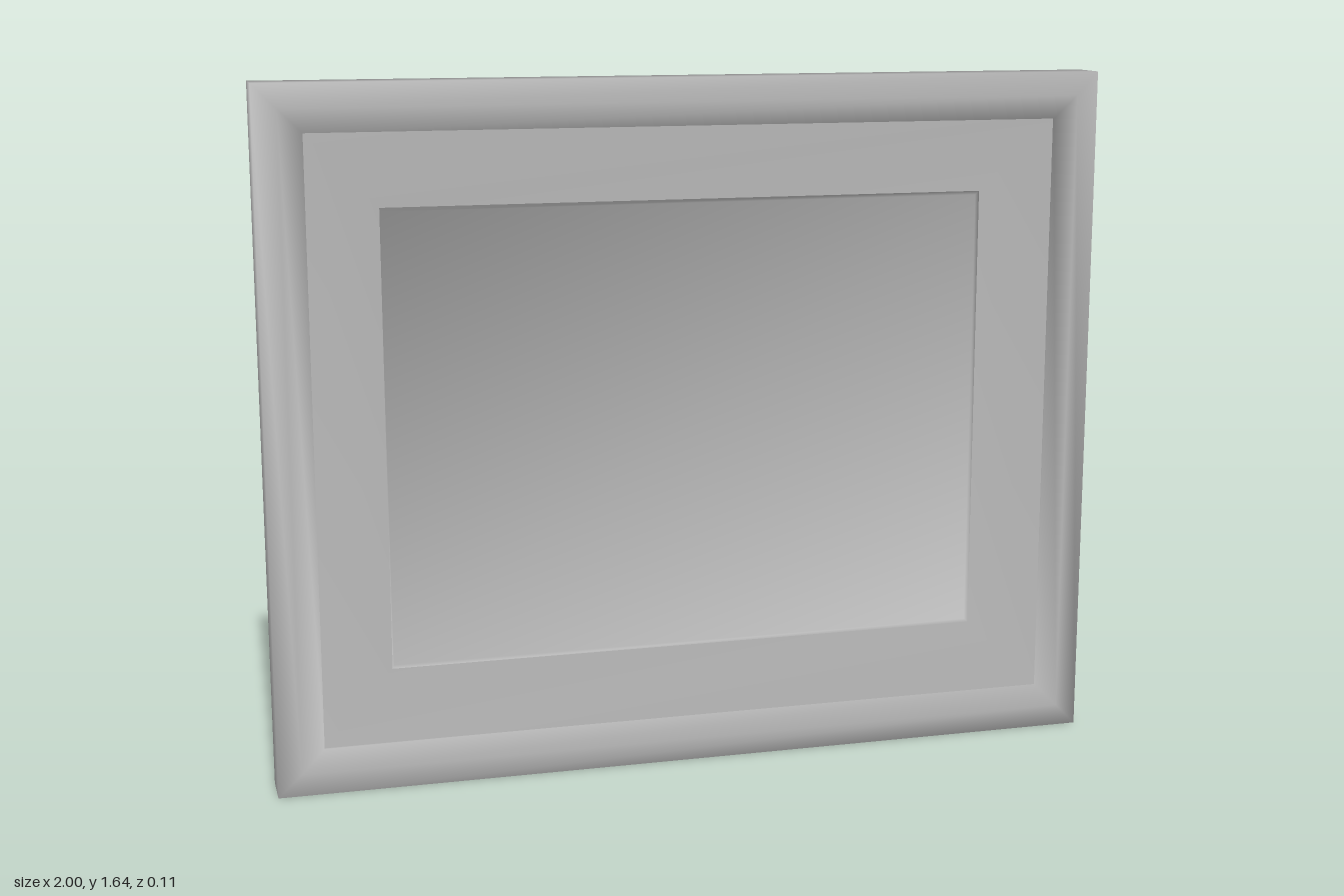
import * as THREE from 'three';

// Joins rectangular rings [x0, x1, y0, y1, z] from back to front, outside in.
// Corners are shared and each face counts equally in the normals, giving a soft shade.
function ringLoft(rings, { capFirst = false, capLast = false } = {}) {
  const pos = [], idx = [];
  for (const [x0, x1, y0, y1, z] of rings) {
    pos.push(x0, y0, z, x1, y0, z, x1, y1, z, x0, y1, z);
  }
  for (let r = 0; r + 1 < rings.length; r++) {
    for (let i = 0; i < 4; i++) {
      const a = r * 4 + i, b = r * 4 + (i + 1) % 4;
      idx.push(a, b, b + 4, a, b + 4, a + 4);
    }
  }
  if (capFirst) idx.push(0, 3, 2, 0, 2, 1);
  if (capLast) {
    const k = (rings.length - 1) * 4;
    idx.push(k, k + 1, k + 2, k, k + 2, k + 3);
  }
  const geometry = new THREE.BufferGeometry();
  geometry.setAttribute('position', new THREE.Float32BufferAttribute(pos, 3));
  geometry.setIndex(idx);

  const points = [], sums = [];
  for (let i = 0; i < pos.length; i += 3) {
    points.push(new THREE.Vector3(pos[i], pos[i + 1], pos[i + 2]));
    sums.push(new THREE.Vector3());
  }
  const tri = new THREE.Triangle(), n = new THREE.Vector3();
  for (let i = 0; i < idx.length; i += 3) {
    const corners = idx.slice(i, i + 3);
    tri.set(...corners.map((c) => points[c])).getNormal(n);
    corners.forEach((c) => sums[c].add(n));
  }
  const normals = sums.flatMap((s) => s.normalize().toArray());
  geometry.setAttribute('normal', new THREE.Float32BufferAttribute(normals, 3));
  return geometry;
}

// A ring set in from the outer edge by a fixed margin
const inset = (d, z) => [-1 + d, 1 - d, d, 1.64 - d, z];

export function createModel() {
  const group = new THREE.Group();
  group.name = 'pictureFrame';
  const grey = new THREE.MeshStandardMaterial({ color: 0xb8b8b8 });
  grey.name = 'plain grey';

  const add = (name, geometry) => {
    const mesh = new THREE.Mesh(geometry, grey);
    mesh.name = name;
    group.add(mesh);
  };

  // Moulding with closed back, sides, raised crest and inner lip
  add('frame', ringLoft([
    inset(0, -0.055),
    inset(0, 0.047),
    inset(0.055, 0.055),
    inset(0.11, 0.047),
    inset(0.11, 0.03),
  ], { capFirst: true }));

  // Border sloping in towards the picture
  const opening = [-0.725, 0.71, 0.285, 1.36];
  add('mat', ringLoft([inset(0.11, 0.041), [...opening, 0.028]]));

  // Recessed picture with a narrow bevelled edge
  add('picture', ringLoft([
    [...opening, 0.028],
    [-0.72, 0.705, 0.29, 1.35, 0.016],
  ], { capLast: true }));

  return group;
}
